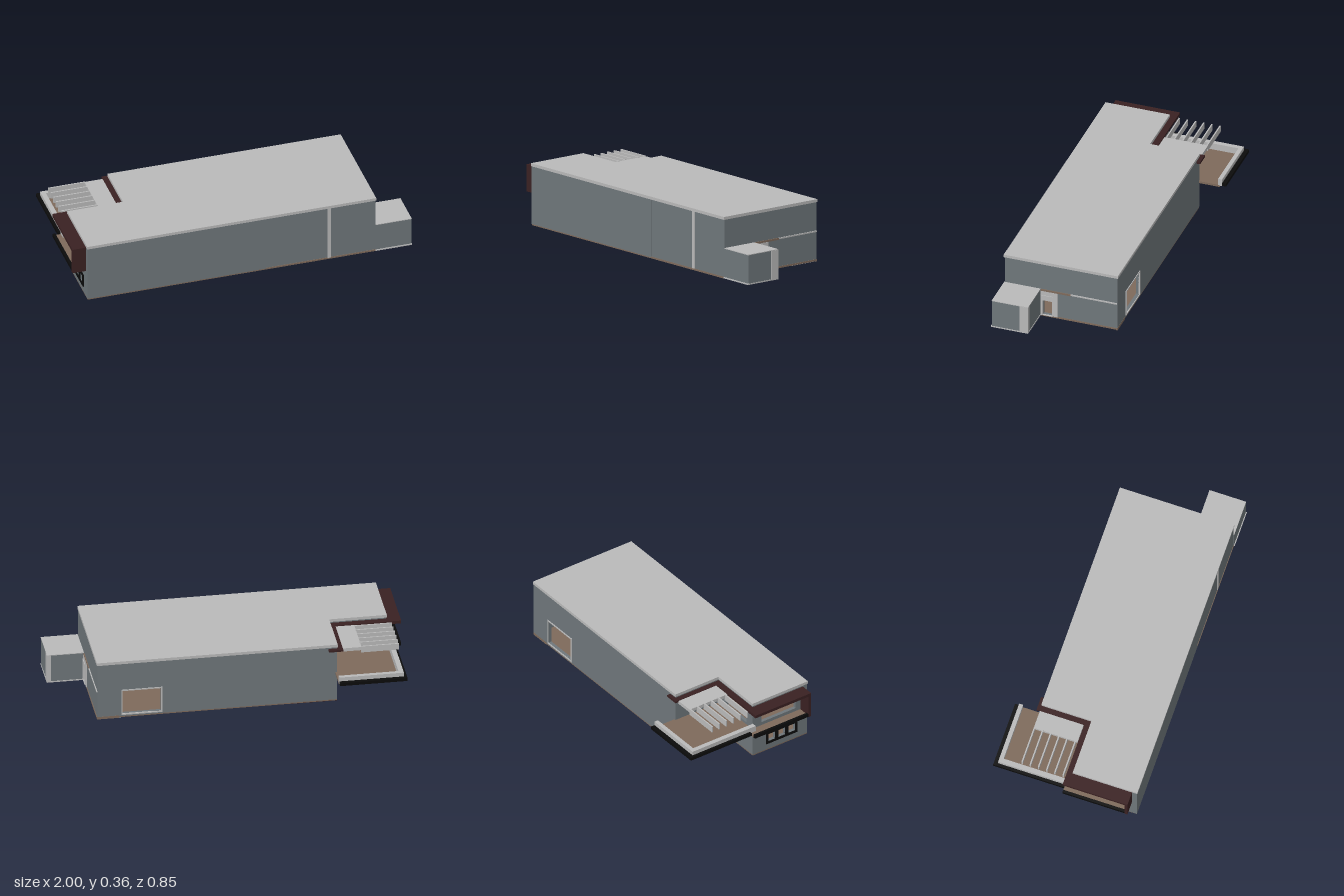
import * as THREE from 'three';

const mat = (name, color) => {
  const m = new THREE.MeshStandardMaterial({ color });
  m.name = name;
  return m;
};

export function createModel() {
  const model = new THREE.Group();
  model.name = 'house';
  const slate = mat('slate wall', 0x6f777b);
  const pale = mat('pale concrete', 0xbababa);
  const timber = mat('brown floor', 0x7e6a5b);
  const maroon = mat('maroon trim', 0x3a2122);
  const black = mat('black metal', 0x0b0b0b);

  const add = (name, geo, material) => {
    const mesh = new THREE.Mesh(geo, material);
    mesh.name = name;
    model.add(mesh);
    return mesh;
  };
  // box given by its limits on each axis
  const box = (name, material, x0, x1, y0, y1, z0, z1) => {
    const geo = new THREE.BoxGeometry(x1 - x0, y1 - y0, z1 - z0);
    geo.translate((x0 + x1) / 2, (y0 + y1) / 2, (z0 + z1) / 2);
    return add(name, geo, material);
  };
  const rect = (P, u0, u1, v0, v1) => {
    const p = new P();
    p.moveTo(u0, v0); p.lineTo(u1, v0); p.lineTo(u1, v1); p.lineTo(u0, v1);
    p.closePath();
    return p;
  };
  // panel with rectangular openings; along x (starting at z) or along z (ending at x)
  const panel = (name, material, axis, at, thick, area, holes = []) => {
    const shape = rect(THREE.Shape, ...area);
    holes.forEach(h => shape.holes.push(rect(THREE.Path, ...h)));
    const geo = new THREE.ExtrudeGeometry(shape, { depth: thick, bevelEnabled: false });
    if (axis === 'z') geo.rotateY(-Math.PI / 2).translate(at, 0, 0);
    else geo.translate(0, 0, at);
    return add(name, geo, material);
  };
  // horizontal plate with the stepped house outline
  const plate = (name, material, y0, y1, o = 0) => {
    const s = new THREE.Shape();
    [[-0.92 - o, 0.42 + o], [0.785 + o, 0.42 + o], [0.785 + o, -0.26 - o],
      [-0.59 - o, -0.26 - o], [-0.59 - o, 0.04 - o], [-0.92 - o, 0.04 - o]]
      .forEach(([x, z], i) => (i ? s.lineTo(x, -z) : s.moveTo(x, -z)));
    s.closePath();
    const geo = new THREE.ExtrudeGeometry(s, { depth: y1 - y0, bevelEnabled: false });
    geo.rotateX(-Math.PI / 2).translate(0, y0, 0);
    return add(name, geo, material);
  };

  // floors and roof
  plate('groundFloor', timber, 0.003, 0.013, -0.001);
  plate('upperFloor', timber, 0.178, 0.186, -0.021);
  plate('lowerCeiling', pale, 0.172, 0.178, -0.021);
  plate('roof', pale, 0.346, 0.363, 0.003);
  box('porchFloorPatch', maroon, -0.588, -0.33, 0.001, 0.01, -0.258, 0.01);
  box('cornerFloorPatch', pale, 0.65, 0.782, 0.001, 0.01, -0.258, -0.08);
  box('cornerFloorEdge', timber, 0.66, 0.787, 0, 0.015, -0.261, -0.255);

  // outer walls
  const T = 0.02, low = 0.01, high = 0.348;
  panel('frontWallLeftBay', slate, 'x', 0.4, T, [-0.92, 0.14, low, high]);
  panel('frontWallRightBay', slate, 'x', 0.396, T, [0.14, 0.785, low, high]);
  box('frontPaleStrip', pale, 0.5, 0.52, low, high, 0.41, 0.419);
  panel('backWall', slate, 'x', -0.26, T, [-0.59, 0.785, low, high], [[0.42, 0.64, 0.025, 0.172]]);
  panel('sideWall', slate, 'z', 0.785, T, [-0.24, 0.396, low, high], [[0.13, 0.186, 0.015, 0.112]]);
  const panes = [0, 1, 2].map(i => [0.145 + i * 0.07, 0.195 + i * 0.07, 0.06, 0.112]);
  panel('balconyWall', slate, 'z', -0.9, T, [0.06, 0.4, low, high],
    [...panes, [0.1, 0.34, 0.21, 0.305]]);
  panel('terraceBackWall', slate, 'x', 0.04, T, [-0.92, -0.59, low, high],
    [[-0.86, -0.66, 0.2, 0.31]]);
  panel('terraceSideWall', slate, 'z', -0.57, T, [-0.24, 0.06, low, high]);

  // window frames
  panel('paneFrame', black, 'z', -0.918, 0.008, [0.132, 0.348, 0.047, 0.125], panes);
  panel('backWindowFrame', pale, 'x', -0.264, 0.008, [0.413, 0.647, 0.018, 0.179],
    [[0.42, 0.64, 0.025, 0.172]]);

  // side entrance surround and trim
  panel('entranceSurround', pale, 'z', 0.791, 0.008, [0.098, 0.2, 0.013, 0.17],
    [[0.13, 0.186, 0.015, 0.112]]);
  panel('entranceFrame', pale, 'z', 0.795, 0.006, [0.128, 0.2, 0.013, 0.144],
    [[0.13, 0.186, 0.015, 0.112]]);
  box('sideTrimPale', pale, 0.78, 0.79, 0.173, 0.181, -0.258, 0.02);
  box('sideTrimBrown', timber, 0.78, 0.79, 0.17, 0.181, 0.02, 0.2);
  box('sideBaseTrim', timber, 0.78, 0.788, 0.004, 0.014, -0.258, 0.2);
  box('innerPost', maroon, -0.6, -0.57, 0.013, 0.106, 0.13, 0.145);

  // low annex beside the entrance
  box('annex', slate, 0.785, 0.998, 0.013, 0.178, 0.202, 0.419);
  box('annexRoof', pale, 0.787, 0.999, 0.178, 0.182, 0.201, 0.42);
  box('annexFloor', pale, 0.785, 1, 0.006, 0.013, 0.2, 0.424);
  box('annexPaleCorner', pale, 0.975, 1, 0.013, 0.178, 0.2, 0.252);

  // terrace deck, open on its inner side
  box('terraceDeck', timber, -0.95, -0.58, 0.172, 0.185, -0.385, 0.04);
  box('terraceBackRim', pale, -0.95, -0.58, 0.18, 0.225, -0.4, -0.376);
  box('terraceSideRim', pale, -0.95, -0.922, 0.18, 0.225, -0.376, 0.04);
  box('terraceBackRail', black, -0.965, -0.58, 0.183, 0.201, -0.424, -0.4);
  box('terraceSideRail', black, -0.967, -0.95, 0.183, 0.201, -0.424, 0.0);

  // canopy slab and pergola slats
  box('canopy', pale, -0.73, -0.59, 0.315, 0.335, -0.262, 0.0);
  for (let i = 0; i < 6; i++) {
    const z = -0.262 + i * 0.049;
    box('pergolaSlat', pale, -0.945, -0.728, 0.3, 0.338, z, z + 0.008);
  }

  // maroon band around the terrace
  box('bandAlongWall', maroon, -1, -0.59, 0.326, 0.338, 0.003, 0.04);
  box('bandAlongCanopy', maroon, -0.622, -0.59, 0.326, 0.338, -0.282, 0.04);
  box('bandReturn', maroon, -0.622, -0.54, 0.326, 0.338, -0.282, -0.26);

  // balcony frame on the end wall
  box('balconyTop', maroon, -1, -0.92, 0.32, 0.338, 0.003, 0.39);
  box('balconyEndPanel', maroon, -1, -0.92, 0.18, 0.325, 0.372, 0.39);
  box('balconyFloor', timber, -0.985, -0.92, 0.18, 0.19, 0.0, 0.372);
  box('balconyFloorEdge', black, -0.998, -0.982, 0.18, 0.2, 0.0, 0.372);
  return model;
}
